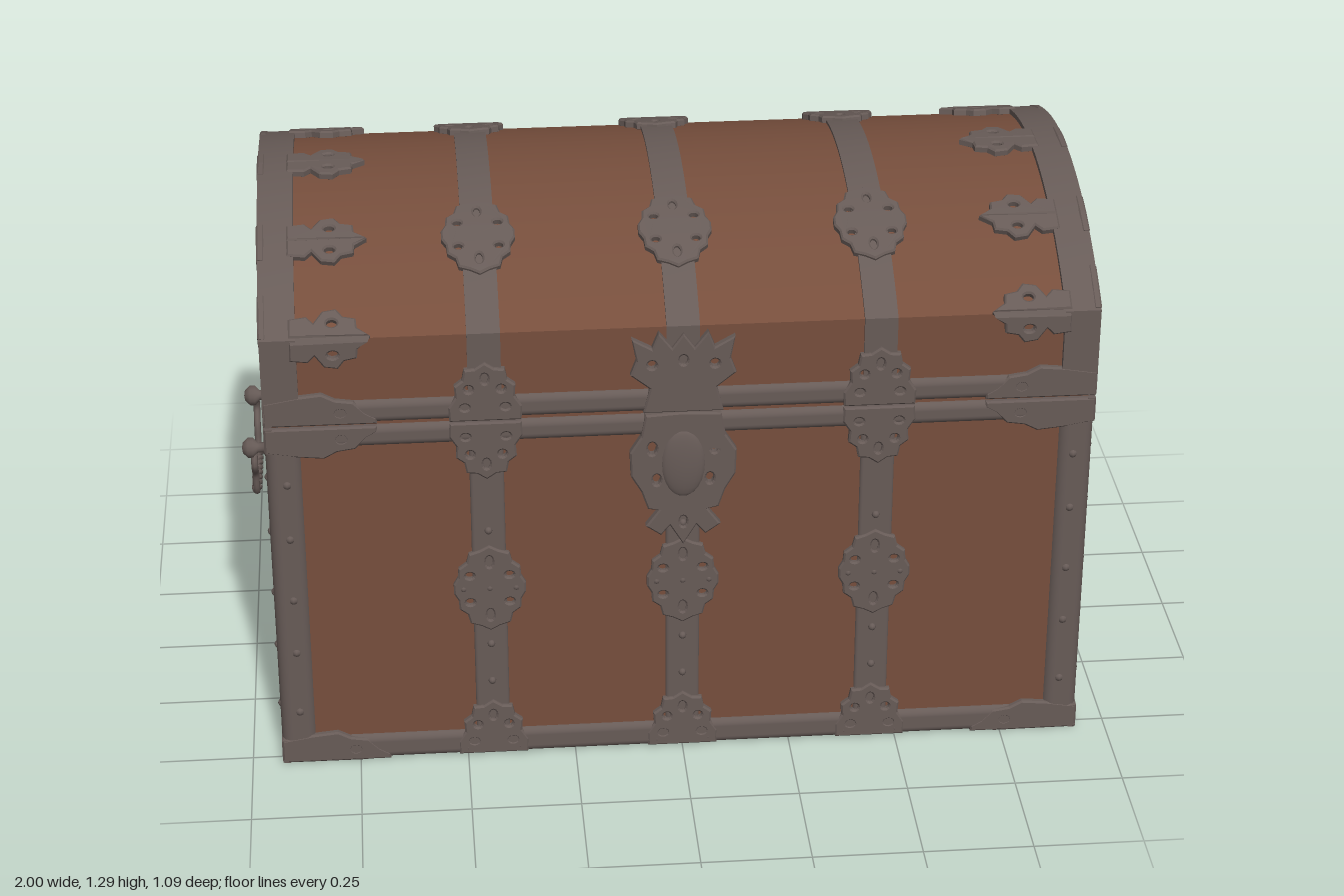
import * as THREE from 'three';
import { toCreasedNormals } from 'three/addons/utils/BufferGeometryUtils.js';
import { RoundedBoxGeometry } from 'three/addons/geometries/RoundedBoxGeometry.js';

const mat = (name, color) => Object.assign(new THREE.MeshStandardMaterial({ color }), { name });
const wood = mat('wood', 0x764e3c);
const iron = mat('iron', 0x675b57);

const W = 0.93, D = 0.53;                 // half width and half depth
const ARC_Y = 0.435, ARC_R = 0.852;       // centre and radius of the lid curve
const INSET = 0.012;                      // wood sits this far behind the iron
const cornerAngle = (off) => Math.asin((D - off) / (ARC_R - off));

function add(parent, name, geo, material, x = 0, y = 0, z = 0) {
  const m = new THREE.Mesh(geo, material);
  m.name = name;
  m.position.set(x, y, z);
  parent.add(m);
  return m;
}

// Mirror a right-hand half outline (listed from the top down) across x = 0
const sym = (pts) => [...pts, ...pts.filter((p) => p[0] > 0).reverse().map(([x, y]) => [-x, y])];
const symHoles = (hs) => hs.flatMap(([x, y, a, b]) => (x ? [[x, y, a, b], [-x, y, a, b]] : [[x, y, a, b]]));

// Thin bevelled plate; holes are ellipses [x, y, rx, ry]
function plate(pts, holes = [], depth = 0.02, sx = 1, sy = 1) {
  const shape = new THREE.Shape(pts.map(([x, y]) => new THREE.Vector2(x * sx, y * sy)));
  for (const [x, y, a, b] of holes) {
    shape.holes.push(new THREE.Path().absellipse(x * sx, y * sy, a, b, 0, Math.PI * 2));
  }
  return new THREE.ExtrudeGeometry(shape, {
    depth: depth - 0.004, curveSegments: 6, bevelThickness: 0.004, bevelSize: 0.004, bevelOffset: -0.004, bevelSegments: 1,
  });
}

// Closed lid cross-section (z, y), set in by off
function lidPoints(off, y0) {
  const a = cornerAngle(off), r = ARC_R - off, pts = [new THREE.Vector2(D - off, y0)];
  for (let i = 0; i <= 24; i++) {
    const t = a - (2 * a * i) / 24;
    pts.push(new THREE.Vector2(r * Math.sin(t), ARC_Y + r * Math.cos(t)));
  }
  pts.push(new THREE.Vector2(off - D, y0));
  return pts;
}

// Lid cross-section extruded along x, centred on x
function lidSlice(off, y0, width, holeOff) {
  const shape = new THREE.Shape(lidPoints(off, y0));
  if (holeOff) shape.holes.push(new THREE.Path(lidPoints(holeOff, y0 + 0.02)));
  const geo = new THREE.ExtrudeGeometry(shape, { depth: width, bevelEnabled: false });
  geo.translate(0, 0, -width / 2).rotateY(-Math.PI / 2);
  return toCreasedNormals(geo, 0.5);
}

// Wrap a flat plate over the lid: y becomes distance backward along the curve
function wrapOnLid(geo, start) {
  const p = geo.attributes.position, r = ARC_R - INSET, a = cornerAngle(INSET);
  for (let i = 0; i < p.count; i++) {
    const s = start - p.getY(i), d = p.getZ(i), side = Math.sign(s), over = Math.abs(s) - a * r;
    if (over > 1e-6) {
      p.setXYZ(i, p.getX(i), ARC_Y + r * Math.cos(a) - over, side * (D - INSET + d));
    } else {
      p.setXYZ(i, p.getX(i), ARC_Y + (r + d) * Math.cos(s / r), (r + d) * Math.sin(s / r));
    }
  }
  geo.computeVertexNormals();
  return geo;
}

// Ornament outlines
const medallion = sym([[0, 0.112], [0.022, 0.1], [0.046, 0.092], [0.052, 0.068], [0.07, 0.054], [0.072, 0.03], [0.082, 0.012],
  [0.082, -0.012], [0.072, -0.03], [0.07, -0.054], [0.052, -0.068], [0.046, -0.092], [0.022, -0.1], [0, -0.112]]);
const medallionHoles = symHoles([[0, 0.07, 0.008, 0.015], [0, -0.07, 0.008, 0.015], [0.045, 0.035, 0.01, 0.008],
  [0.045, -0.035, 0.01, 0.008]]);
const spade = sym([[0, 0.145], [0.022, 0.13], [0.045, 0.128], [0.05, 0.102], [0.068, 0.088], [0.066, 0.06], [0.082, 0.035], [0.08, 0]]);
const spadeHoles = symHoles([[0, 0.105, 0.008, 0.013], [0.036, 0.08, 0.009, 0.009], [0.045, 0.035, 0.01, 0.008]]);
const halfFleur = [[0, 0], [0, 0.045], [0.04, 0.05], [0.055, 0.034], [0.075, 0.062], [0.105, 0.067], [0.12, 0.048], [0.148, 0.042], [0.15, 0.02], [0.178, 0]];
const leaf = [[0, 0], [0, 0.06], [0.07, 0.072], [0.13, 0.078], [0.16, 0.062], [0.2, 0.056], [0.225, 0.03], [0.25, 0.015], [0.25, 0]];
const shield = sym([[0, 0.89], [0.085, 0.885], [0.095, 0.83], [0.12, 0.79], [0.118, 0.73], [0.095, 0.69], [0.08, 0.645],
  [0.055, 0.64], [0.085, 0.6], [0.05, 0.575], [0.03, 0.6], [0, 0.55]]);
const crown = sym([[0, 1.085], [0.025, 1.05], [0.055, 1.088], [0.07, 1.05], [0.115, 1.075], [0.105, 1.02], [0.118, 0.985], [0.075, 0.95], [0.09, 0.89]]);
const backplate = sym([[0, 0.115], [0.03, 0.08], [0.08, 0.085], [0.1, 0.065], [0.15, 0.07], [0.19, 0.04], [0.255, 0], [0.2, -0.03],
  [0.17, -0.06], [0.12, -0.05], [0.09, -0.085], [0.04, -0.075], [0, -0.115]]);

function strap(face, x, z, front) {
  const g = new THREE.Group();
  g.name = 'strap';
  g.position.x = x;
  face.add(g);
  const rivet = new THREE.SphereGeometry(0.009, 8, 6);
  add(g, 'strapBar', new RoundedBoxGeometry(0.078, 0.86, 0.03, 2, 0.008), iron, 0, 0.44, z - 0.021);
  add(g, 'medallion', plate(medallion, medallionHoles), iron, 0, 0.45, z - 0.02);
  add(g, 'footSpade', plate(spade, spadeHoles), iron, 0, 0.004, z - 0.018);
  for (const [rx, ry] of [[0, 0.45], [0.06, 0.45], [-0.06, 0.45], [0, 0.2], [0, 0.3], [0, 0.6], [0.06, 0.02], [-0.06, 0.02]]) {
    add(g, 'rivet', rivet, iron, rx, ry, z - 0.006);
  }
  if (front && x === 0) {
    add(g, 'claspShield', plate(shield, symHoles([[0.07, 0.8, 0.01, 0.016], [0.06, 0.72, 0.009, 0.014], [0, 0.61, 0.008, 0.014]]), 0.026), iron, 0, 0, z - 0.018);
    add(g, 'claspCrown', plate(crown, symHoles([[0.07, 1.01, 0.01, 0.01], [0, 1.02, 0.009, 0.012]]), 0.024), iron, 0, 0, z - 0.018);
    const boss = new THREE.SphereGeometry(1, 20, 12).scale(0.05, 0.085, 0.014);
    add(g, 'claspBoss', boss, iron, 0, 0.76, z + 0.005);
  } else {
    add(g, 'lidSpade', plate(spade, spadeHoles), iron, 0, 0.886, z - 0.016);
    add(g, 'rimSpade', plate(spade, spadeHoles, 0.02, 1, -1), iron, 0, 0.882, z - 0.016);
    if (!front && x !== 0) {
      add(g, 'hingePin', new THREE.CylinderGeometry(0.012, 0.012, 0.2, 12).rotateZ(Math.PI / 2), iron, 0, 0.885, z + 0.002);
    }
  }
}

function handle(face) {
  const g = new THREE.Group();
  g.name = 'handle';
  face.add(g);
  const holes = symHoles([[0, 0.065, 0.01, 0.018], [0.05, 0.045, 0.02, 0.011], [0.1, 0.035, 0.013, 0.01],
    [0.065, -0.045, 0.012, 0.016], [0.18, 0.012, 0.02, 0.01], [0.215, -0.002, 0.008, 0.006]]);
  add(g, 'handlePlate', plate(backplate, holes), iron, 0, 0.62, 0.914);
  for (const s of [-1, 1]) {
    const post = new THREE.LatheGeometry([[0, 0], [0.032, 0], [0.028, 0.016], [0.012, 0.022], [0.012, 0.035], [0.024, 0.046],
      [0.024, 0.058], [0.012, 0.07], [0, 0.072]].map((p) => new THREE.Vector2(...p)), 14).rotateX(Math.PI / 2);
    add(g, 'handlePost', post, iron, s * 0.13, 0.62, 0.928);
  }
  const path = [[-0.13, 0.62], [-0.145, 0.58], [-0.12, 0.545], [-0.105, 0.49], [0, 0.484], [0.105, 0.49], [0.12, 0.545], [0.145, 0.58], [0.13, 0.62]];
  const bail = new THREE.CatmullRomCurve3(path.map(([x, y]) => new THREE.Vector3(x, y, 0.972)));
  add(g, 'bail', new THREE.TubeGeometry(bail, 48, 0.008, 8), iron);
  // Twisted grip
  for (const phase of [0, Math.PI]) {
    const pts = Array.from({ length: 41 }, (_, i) => {
      const t = phase + (i / 40) * Math.PI * 8;
      return new THREE.Vector3(-0.095 + (0.19 * i) / 40, 0.488 + 0.006 * Math.cos(t), 0.972 + 0.006 * Math.sin(t));
    });
    add(g, 'twistedGrip', new THREE.TubeGeometry(new THREE.CatmullRomCurve3(pts), 80, 0.007, 6), iron);
  }
}

export function createModel() {
  const root = new THREE.Group();
  root.name = 'chest';

  // Wooden body and curved lid
  add(root, 'body', new THREE.BoxGeometry(2 * (W - INSET), 0.876, 2 * (D - INSET)), wood, 0, 0.442, 0);
  add(root, 'lid', lidSlice(INSET, 0.882, 2 * (W - INSET)), wood);

  // Bands, leaves and rivets on all four faces
  for (let k = 0; k < 4; k++) {
    const face = new THREE.Group();
    face.name = ['frontFace', 'leftFace', 'backFace', 'rightFace'][k];
    face.rotation.y = (k * Math.PI) / 2;
    root.add(face);
    const half = k % 2 ? D : W, z = k % 2 ? W : D;
    for (const [y, h] of [[0, 0.066], [0.828, 0.055], [0.888, 0.057]]) {
      add(face, 'band', new RoundedBoxGeometry(2 * half, h, 0.04, 4, 0.019), iron, 0, y + h / 2, z - 0.02);
    }
    for (const s of [-1, 1]) {
      for (const [y, dir] of [[0.001, 1], [0.882, -1], [0.888, 1]]) {
        add(face, 'cornerLeaf', plate(leaf, [[0.17, 0.03, 0.01, 0.008]], 0.018, -s, dir), iron, s * half, y, z - 0.017);
      }
      for (const y of [0.14, 0.3, 0.44, 0.6, 0.74]) {
        add(face, 'postRivet', new THREE.SphereGeometry(0.011, 8, 6), iron, s * (half - 0.045), y, z - 0.005);
      }
    }
    if (k % 2) handle(face);
    else for (const x of [-0.44, 0, 0.44]) strap(face, x, z, k === 0);
  }

  // Corner posts and underside corner plates
  for (const sx of [-1, 1]) for (const sz of [-1, 1]) {
    add(root, 'cornerPost', new RoundedBoxGeometry(0.082, 0.87, 0.082, 4, 0.026), iron, sx * (W - 0.041), 0.443, sz * (D - 0.041));
    const tri = plate([[0, 0], [0.2, 0], [0.14, 0.07], [0.07, 0.14], [0, 0.2]], [], 0.008, -sx, -sz);
    add(root, 'undersideCorner', tri.rotateX(Math.PI / 2), iron, sx * W, 0.008, sz * D);
  }

  // Lid straps with wrapped medallions
  const arcLength = (z) => Math.asin(z / (ARC_R - INSET)) * (ARC_R - INSET);
  for (const x of [-0.44, 0, 0.44]) {
    add(root, 'lidStrap', lidSlice(0.005, 0.9, 0.074), iron, x);
    for (const s of [-1, 1]) {
      add(root, 'lidMedallion', wrapOnLid(plate(medallion, medallionHoles, 0.016), s * arcLength(0.295)), iron, x);
    }
  }

  // End arches with claws and pointed plates
  const claw = sym([[0, 0.003], [0.055, 0], [0.054, -0.07], [0.046, -0.105], [0.026, -0.132], [0, -0.141]]);
  const corner = cornerAngle(INSET) * (ARC_R - INSET);
  for (const s of [-1, 1]) {
    add(root, 'endArch', lidSlice(0, 0.9, 0.08, 0.098), iron, s * (W - 0.04));
    for (const start of [-corner, -arcLength(0.295), 0, arcLength(0.295), corner]) {
      for (const v of [-1, 1]) {
        add(root, 'pointedPlate', wrapOnLid(plate(halfFleur, [[0.095, 0.032, 0.012, 0.009]], 0.016, -s, v), start), iron, s * 0.865);
      }
      const t = Math.max(-0.6, Math.min(0.6, start / (ARC_R - INSET)));
      const g = new THREE.Group();
      g.name = 'archClaw';
      g.rotation.y = (s * Math.PI) / 2;
      g.position.set(s * (W - 0.012), ARC_Y, 0);
      const length = Math.abs(start) === corner ? 0.62 : 1;
      const c = add(g, 'claw', plate(claw, [], 0.014, 1, length), iron, -s * ARC_R * Math.sin(t), ARC_R * Math.cos(t), 0);
      c.rotation.z = s * t;
      root.add(g);
    }
  }
  return root;
}
